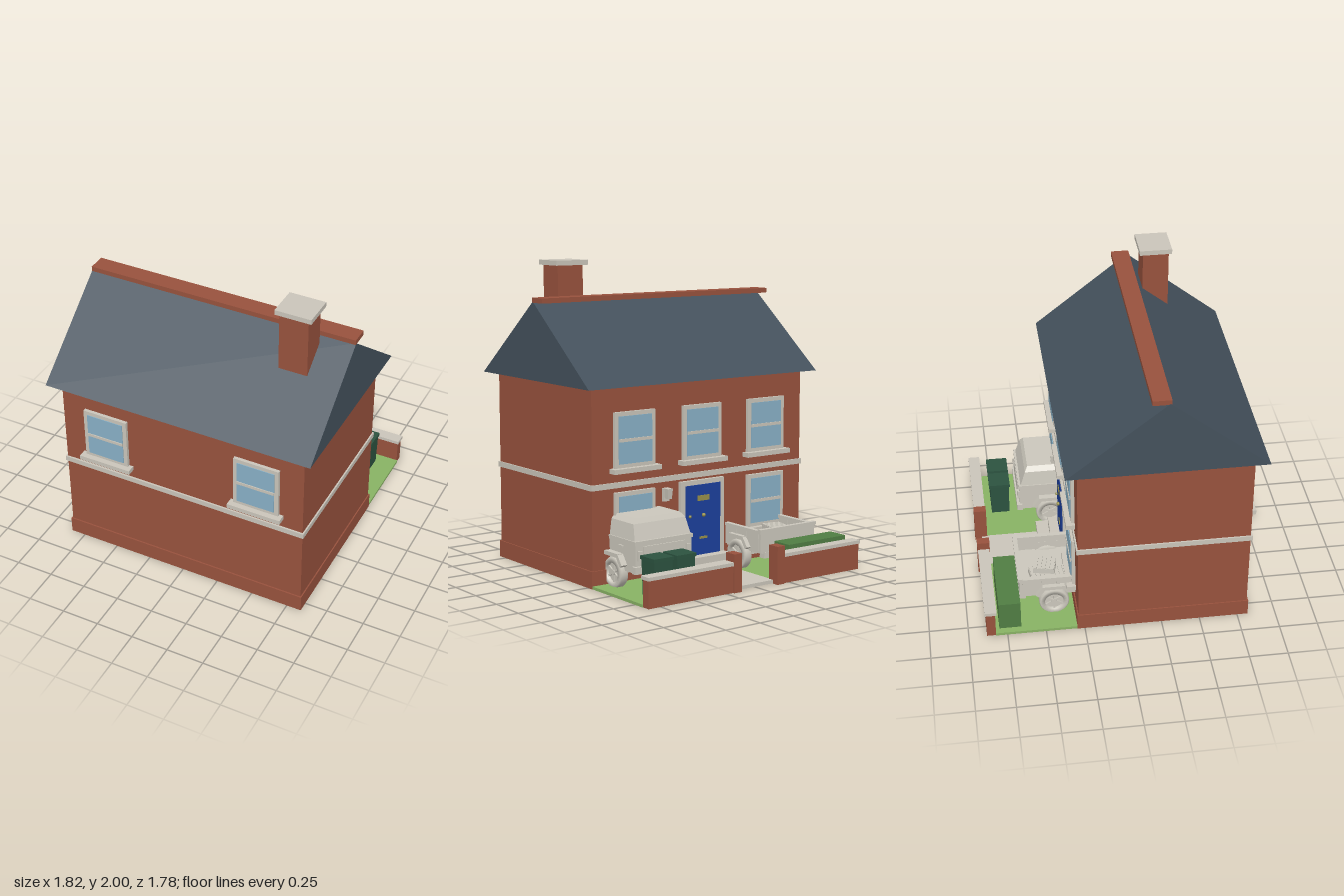
import * as THREE from 'three';

const mat = (name, color) => {
  const m = new THREE.MeshStandardMaterial({ color });
  m.name = name;
  return m;
};

export function createModel() {
  const root = new THREE.Group();
  root.name = 'house';
  const brick = mat('brick', 0x98523d), slate = mat('slate', 0x44515c), stone = mat('stone', 0xcac5ba);
  const glass = mat('glass', 0x88b0c6), blue = mat('door blue', 0x1c3f9c), grass = mat('grass', 0x88b264);
  const hedgeGreen = mat('hedge green', 0x507d43), binGreen = mat('bin green', 0x2c5340);
  const brass = mat('brass', 0x97904a), metal = mat('vehicle grey', 0xcbc7bc);

  const add = (parent, name, geo, material) => {
    const m = new THREE.Mesh(geo, material);
    m.name = name;
    parent.add(m);
    return m;
  };
  // Box given by its extents on each axis
  const box = (parent, name, material, x0, x1, y0, y1, z0, z1) => {
    const g = new THREE.BoxGeometry(x1 - x0, y1 - y0, z1 - z0);
    g.translate((x0 + x1) / 2, (y0 + y1) / 2, (z0 + z1) / 2);
    return add(parent, name, g, material);
  };
  // Box whose top (or bottom) face is scaled about its centre
  const taperBox = (parent, name, material, x0, x1, y0, y1, z0, z1, sx, sz, atTop = true) => {
    const m = box(parent, name, material, x0, x1, y0, y1, z0, z1);
    const p = m.geometry.attributes.position, cx = (x0 + x1) / 2, cz = (z0 + z1) / 2;
    for (let i = 0; i < p.count; i++) {
      if ((p.getY(i) > (y0 + y1) / 2) !== atTop) continue;
      p.setX(i, cx + (p.getX(i) - cx) * sx);
      p.setZ(i, cz + (p.getZ(i) - cz) * sz);
    }
    m.geometry.computeVertexNormals();
    return m;
  };
  const group = (name, parent = root) => {
    const g = new THREE.Group();
    g.name = name;
    parent.add(g);
    return g;
  };

  // Walls, plinth and string course
  box(root, 'walls', brick, -0.84, 0.84, 0, 1.255, -0.29, 0.81);
  box(root, 'plinth', brick, -0.848, 0.848, 0, 0.11, -0.298, 0.82);
  box(root, 'stringCourse', stone, -0.85, 0.85, 0.615, 0.65, -0.30, 0.822);

  // Gabled roof
  const tri = new THREE.Shape([[-0.37, 1.25], [0.89, 1.25], [0.26, 1.75]].map(p => new THREE.Vector2(...p)));
  const roofGeo = new THREE.ExtrudeGeometry(tri, { depth: 1.82, bevelEnabled: false });
  roofGeo.rotateY(-Math.PI / 2).translate(0.91, 0, 0);
  add(root, 'roof', roofGeo, slate);
  box(root, 'ridge', brick, -0.91, 0.91, 1.743, 1.775, 0.152, 0.27);

  // Chimney
  box(root, 'chimney', brick, 0.502, 0.692, 1.5, 1.97, 0.307, 0.477);
  box(root, 'chimneyCap', stone, 0.478, 0.716, 1.968, 2, 0.283, 0.495);

  // Sash windows, built facing +z and turned for the back
  const sashWindow = (x, y, back) => {
    const w = group('window');
    box(w, 'frame', stone, -0.153, 0.153, 0, 0.352, 0, 0.022);
    box(w, 'pane', glass, -0.126, 0.126, 0.026, 0.326, 0.022, 0.027);
    box(w, 'bar', stone, -0.126, 0.126, 0.165, 0.185, 0.022, 0.032);
    box(w, 'sill', stone, -0.18, 0.18, -0.028, 0.002, 0, 0.058);
    w.position.set(x, y, back ? -0.29 : 0.81);
    if (back) w.rotation.y = Math.PI;
  };
  for (const x of [-0.528, 0.528]) {
    sashWindow(x, 0.738, false);
    sashWindow(x, 0.738, true);
    sashWindow(x, 0.235, true);
  }
  sashWindow(0, 0.738, true);

  // Door with frame and fittings
  const door = group('door');
  box(door, 'doorFrame', stone, -0.175, 0.175, 0.1, 0.6, 0, 0.025);
  box(door, 'doorPanel', blue, -0.14, 0.14, 0.1, 0.57, 0.024, 0.03);
  box(door, 'doorWindow', brass, -0.045, 0.045, 0.465, 0.5, 0.029, 0.035);
  box(door, 'letterbox', brass, -0.03, 0.03, 0.215, 0.23, 0.029, 0.036);
  for (const [x, r] of [[0, 0.013], [-0.11, 0.01]]) {
    const k = add(door, 'doorKnob', new THREE.SphereGeometry(r, 12, 8), brass);
    k.position.set(x, 0.37, 0.036);
  }
  door.position.z = -0.29;
  door.rotation.y = Math.PI;
  // Wall lamp beside the door
  box(root, 'lampPlate', stone, 0.262, 0.308, 0.49, 0.575, -0.31, -0.288);
  taperBox(root, 'lamp', stone, 0.265, 0.305, 0.51, 0.575, -0.35, -0.305, 0.75, 0.75, false);

  // Garden, path and steps
  box(root, 'lawn', grass, -0.845, 0.845, 0, 0.018, -0.825, -0.29);
  box(root, 'path', stone, -0.15, 0.15, 0.002, 0.024, -0.85, -0.29);
  box(root, 'lowerStep', stone, -0.2, 0.215, 0.018, 0.065, -0.468, -0.29);
  box(root, 'upperStep', stone, -0.175, 0.19, 0.06, 0.11, -0.385, -0.29);

  // Garden walls with coping and gate piers
  for (const s of [-1, 1]) {
    const span = (a, b) => (s > 0 ? [a, b] : [-b, -a]);
    box(root, 'gardenWall', brick, ...span(0.17, 0.84), 0, 0.172, -0.883, -0.825);
    box(root, 'coping', stone, ...span(0.17, 0.847), 0.17, 0.192, -0.892, -0.815);
    box(root, 'gatePier', brick, ...span(0.143, 0.202), 0, 0.243, -0.895, -0.812);
  }
  box(root, 'hedge', hedgeGreen, -0.8, -0.317, 0.015, 0.215, -0.8, -0.658);

  // Wheelie bins
  for (const x of [0.473, 0.644]) {
    taperBox(root, 'binBody', binGreen, x - 0.068, x + 0.068, 0.015, 0.24, -0.765, -0.632, 0.92, 0.92, false);
    box(root, 'binLid', binGreen, x - 0.074, x + 0.074, 0.238, 0.26, -0.772, -0.627);
  }

  // Spoked wheel with its axle along x, outer side given by s
  const wheel = (parent, x, y, z, s) => {
    const w = group('wheel', parent);
    const tyre = [[0.062, -0.03], [0.09, -0.03], [0.098, -0.02], [0.098, 0.02], [0.09, 0.03], [0.062, 0.03], [0.062, -0.03]];
    const g = new THREE.LatheGeometry(tyre.map(p => new THREE.Vector2(...p)), 24);
    add(w, 'tyre', g.rotateZ(-Math.PI / 2), metal);
    add(w, 'wheelDisc', new THREE.CylinderGeometry(0.064, 0.064, 0.02, 24).rotateZ(Math.PI / 2), metal);
    add(w, 'hub', new THREE.CylinderGeometry(0.017, 0.017, 0.05, 12).rotateZ(Math.PI / 2), metal);
    for (let i = 0; i < 6; i++) {
      const spoke = box(w, 'spoke', metal, 0.008, 0.02, 0.01, 0.064, -0.006, 0.006);
      spoke.rotation.x = i * Math.PI / 3;
    }
    w.position.set(x, y, z);
    w.scale.x = 1;
    w.rotation.y = s > 0 ? 0 : Math.PI;
  };
  // Stepped wheel-arch flare
  const flare = (parent, x0, x1, z, top) => {
    box(parent, 'flareTop', metal, x0, x1, top - 0.025, top, z - 0.075, z + 0.07);
    const tail = box(parent, 'flareTail', metal, x0, x1, -0.025, 0, -0.08, 0);
    tail.position.set(0, top, z - 0.072);
    tail.rotation.x = -0.95;
  };

  // Covered off-road car, nose inside the wall line
  const car = group('car');
  box(car, 'carBody', metal, 0.285, 0.71, 0.13, 0.325, -0.568, -0.2);
  box(car, 'beltRail', metal, 0.278, 0.717, 0.305, 0.33, -0.574, -0.2);
  taperBox(car, 'canvasTop', metal, 0.285, 0.71, 0.328, 0.43, -0.56, -0.1, 0.93, 0.85);
  taperBox(car, 'canvasCrown', metal, 0.3, 0.695, 0.43, 0.462, -0.526, -0.13, 0.86, 0.9);
  box(car, 'rearBumper', metal, 0.27, 0.725, 0.13, 0.175, -0.588, -0.55);
  box(car, 'tailgate', metal, 0.34, 0.655, 0.185, 0.295, -0.577, -0.56);
  box(car, 'rearAxle', metal, 0.27, 0.72, 0.09, 0.12, -0.37, -0.34);
  for (const s of [-1, 1]) {
    const cx = 0.4975 + s * 0.185;
    box(car, 'tailLamp', metal, cx - 0.016, cx + 0.016, 0.21, 0.27, -0.582, -0.56);
    const fx = 0.4975 + s * 0.225;
    flare(car, fx - 0.03, fx + 0.03, -0.36, 0.235);
    wheel(car, 0.4975 + s * 0.215, 0.105, -0.36, s);
  }
  box(car, 'doorHandle', metal, 0.71, 0.722, 0.275, 0.287, -0.44, -0.4);

  // Open load trailer beside the door
  const trailer = group('openTrailer');
  const tx = -0.435;
  box(trailer, 'bed', metal, tx - 0.215, tx + 0.215, 0.14, 0.18, -0.645, -0.2);
  box(trailer, 'tailboard', metal, tx - 0.225, tx + 0.225, 0.15, 0.295, -0.652, -0.635);
  box(trailer, 'tailRail', metal, tx - 0.235, tx + 0.235, 0.28, 0.3, -0.66, -0.63);
  box(trailer, 'trailerBumper', metal, tx - 0.2, tx + 0.2, 0.11, 0.15, -0.655, -0.61);
  box(trailer, 'trailerAxle', metal, tx - 0.22, tx + 0.22, 0.09, 0.12, -0.445, -0.415);
  for (const s of [-1, 1]) {
    const x = tx + s * 0.217;
    box(trailer, 'sideBoard', metal, x - 0.009, x + 0.009, 0.15, 0.285, -0.645, -0.2);
    box(trailer, 'sideRail', metal, x - 0.016, x + 0.016, 0.27, 0.29, -0.65, -0.2);
    for (const z of [-0.62, -0.5, -0.4]) box(trailer, 'stake', metal, x - 0.014, x + 0.014, 0.16, 0.285, z - 0.01, z + 0.01);
    const fx = tx + s * 0.232;
    flare(trailer, fx - 0.025, fx + 0.025, -0.43, 0.235);
    wheel(trailer, tx + s * 0.222, 0.105, -0.43, s);
  }
  // Stacked slatted crates in the bed
  for (const [x, z, y, turn] of [[-0.51, -0.5, 0.18, 0.15], [-0.48, -0.47, 0.225, -0.2], [-0.53, -0.4, 0.18, 0.1]]) {
    const crate = group('crate', trailer);
    box(crate, 'crateCore', metal, -0.06, 0.06, 0, 0.036, -0.07, 0.07);
    for (let i = -2; i <= 2; i++) box(crate, 'slat', metal, -0.064, 0.064, 0.034, 0.045, i * 0.028 - 0.01, i * 0.028 + 0.01);
    crate.position.set(x, y, z);
    crate.rotation.y = turn;
  }
  return root;
}
